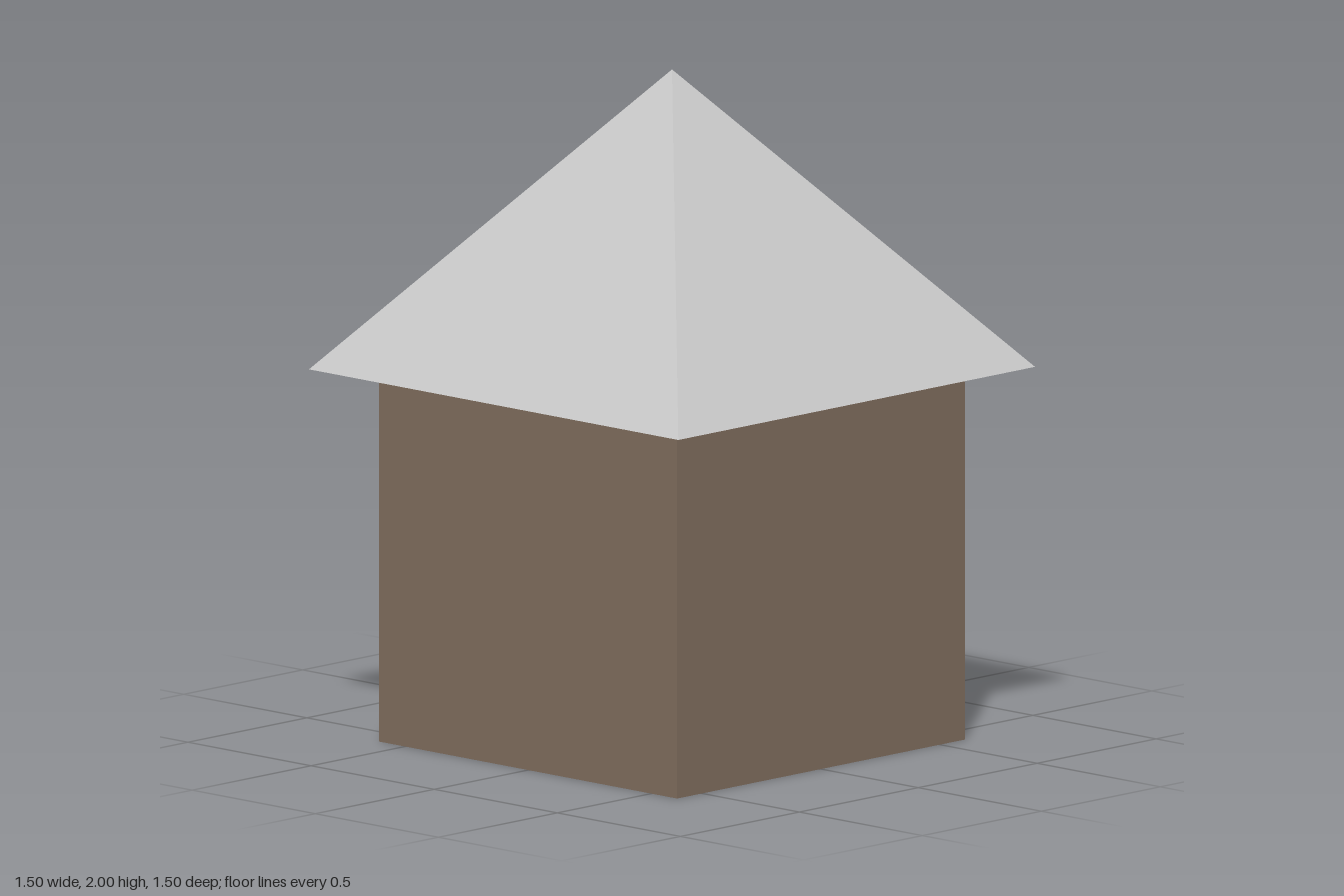
import * as THREE from 'three';

const wallBrown = new THREE.MeshStandardMaterial({ color: 0x826f5f });
const roofGrey = new THREE.MeshStandardMaterial({ color: 0xc8c8c8 });
wallBrown.name = 'wallBrown';
roofGrey.name = 'roofGrey';

export function createModel() {
  const house = new THREE.Group();
  house.name = 'house';

  const add = (name, geometry, material, x, y, z) => {
    const mesh = new THREE.Mesh(geometry, material);
    mesh.name = name;
    mesh.position.set(x, y, z);
    house.add(mesh);
  };

  const wallHeight = 1.11, wallWidth = 1.21, roofWidth = 1.5, roofHeight = 0.89;

  // Square body
  add('walls', new THREE.BoxGeometry(wallWidth, wallHeight, wallWidth), wallBrown, 0, wallHeight / 2, 0);

  // Four-sided pyramid roof with a closed, overhanging underside
  const roof = new THREE.ConeGeometry(roofWidth / Math.SQRT2, roofHeight, 4).rotateY(Math.PI / 4).toNonIndexed();
  roof.computeVertexNormals();
  add('roof', roof, roofGrey, 0, wallHeight + roofHeight / 2, 0);

  // Thin door plate on the back wall
  add('door', new THREE.BoxGeometry(0.385, 0.455, 0.009), wallBrown, 0, 0.2275, -wallWidth / 2 - 0.0045);

  return house;
}
